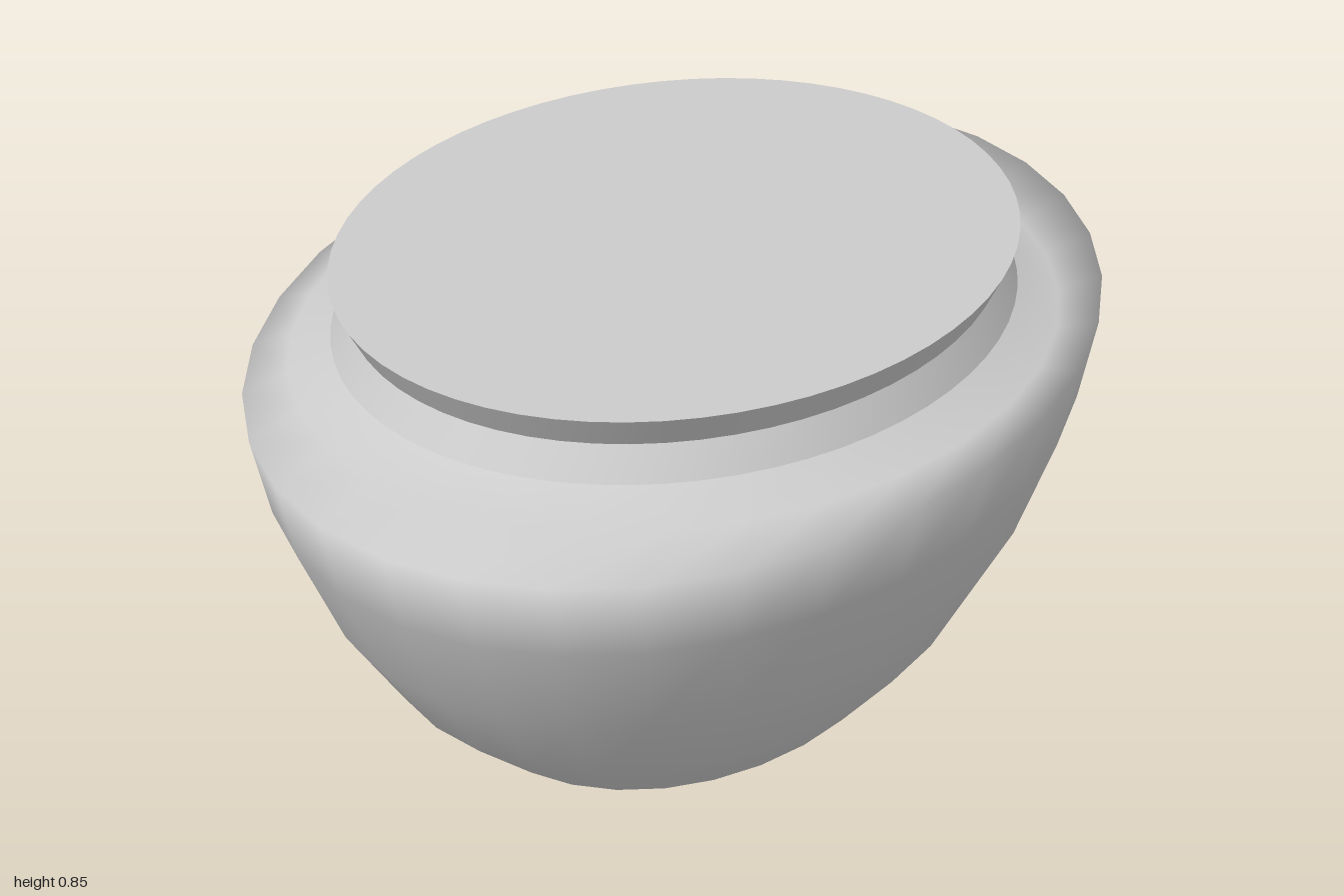
import * as THREE from 'three';

const material = new THREE.MeshStandardMaterial({ color: 0xcccccc });
const CX = -0.012;

// Smooth skin through elliptical rings [y, rx, rz, cz, tilt]; tilt lifts the back of a ring
function loft(name, rings, sides) {
  const pos = [], index = [];
  for (const [y, rx, rz, cz, tilt = 0] of rings) {
    for (let j = 0; j < sides; j++) {
      const a = (j / sides) * Math.PI * 2;
      pos.push(CX + rx * Math.sin(a), y - tilt * Math.cos(a), cz + rz * Math.cos(a));
    }
  }
  for (let i = 0; i < rings.length - 1; i++) {
    for (let j = 0; j < sides; j++) {
      const k = (j + 1) % sides;
      const a = i * sides + j, b = i * sides + k;
      index.push(a, b, b + sides, a, b + sides, a + sides);
    }
  }
  const geo = new THREE.BufferGeometry();
  geo.setAttribute('position', new THREE.Float32BufferAttribute(pos, 3));
  geo.setIndex(index);
  geo.computeVertexNormals();
  const mesh = new THREE.Mesh(geo, material);
  mesh.name = name;
  return mesh;
}

// Flat elliptical disc closing a ring, facing up or down
function cap(name, [y, rx, rz, cz], sides, up) {
  const geo = new THREE.CircleGeometry(1, sides, Math.PI / 2);
  geo.rotateX(up ? -Math.PI / 2 : Math.PI / 2);
  geo.scale(rx, 1, rz);
  const mesh = new THREE.Mesh(geo, material);
  mesh.position.set(CX, y, cz);
  mesh.name = name;
  return mesh;
}

export function createModel() {
  const model = new THREE.Group();
  model.name = 'ovalPot';

  // Bowl widening to the rim, then folding in over the shoulder
  const bowl = [
    [0, 0.315, 0.45, -0.023],
    [0.06, 0.392, 0.557, -0.023],
    [0.195, 0.505, 0.72, -0.023],
    [0.36, 0.595, 0.845, -0.023],
    [0.545, 0.663, 0.94, -0.023],
    [0.686, 0.692, 0.976, -0.023, 0.005],
    [0.698, 0.635, 0.79, 0.006],
    [0.737, 0.56, 0.71, 0.008],
  ];
  // Waisted neck with a flared lip
  const base = [0.737, 0.562, 0.712, 0.008];
  const waist = [0.79, 0.535, 0.678, 0.008];
  const lip = [0.845, 0.562, 0.713, 0.008];

  model.add(
    loft('bowl', bowl, 32),
    cap('foot', bowl[0], 32, false),
    loft('neck', [base, waist], 64),
    loft('lip', [waist, lip], 64),
    cap('lid', lip, 64, true),
  );
  return model;
}
